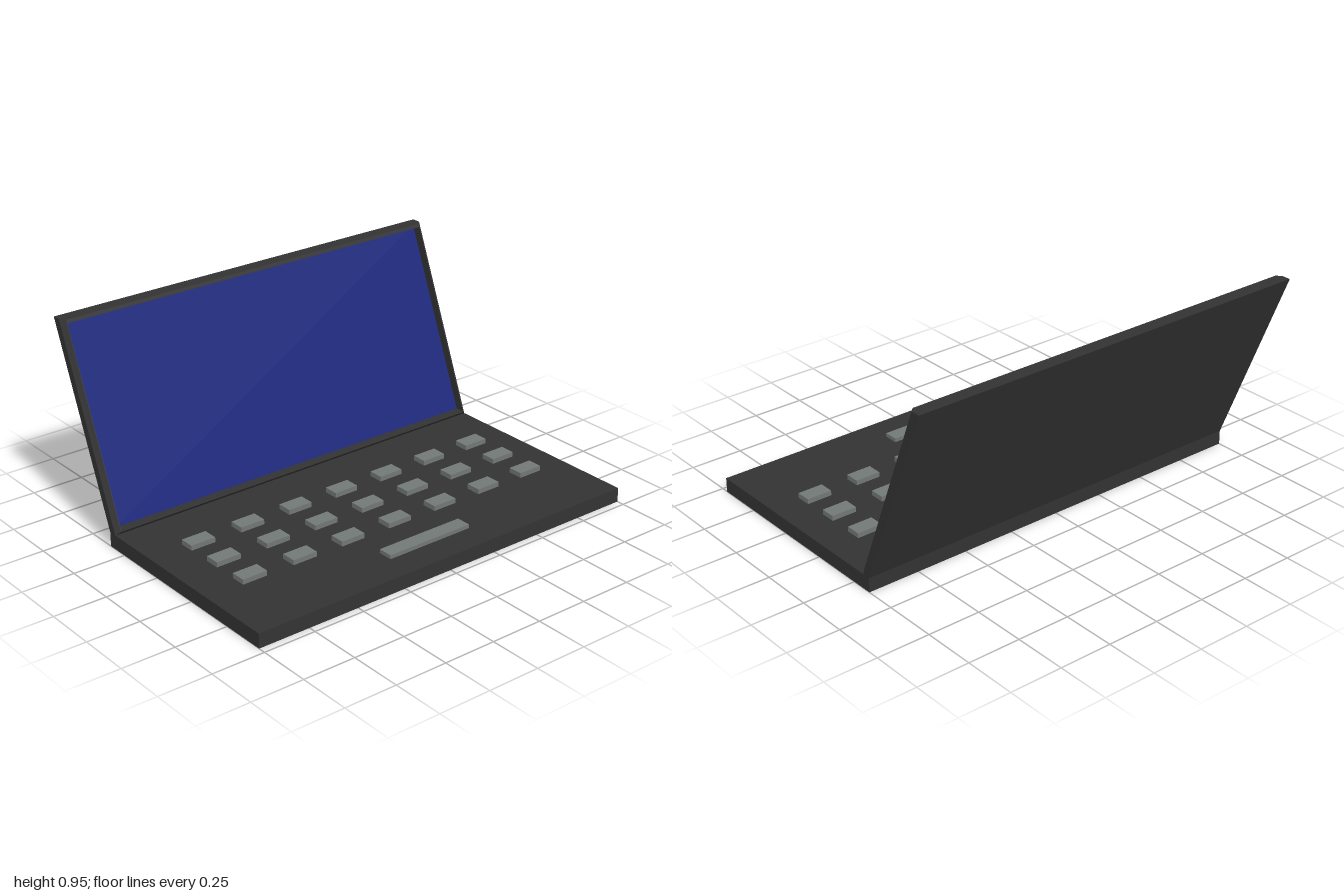
import * as THREE from 'three';

const material = (color, extra = {}) => new THREE.MeshStandardMaterial({ color, ...extra });

// Rectangular loop across the lid: bottom and top points [x, y], half-width z.
// Corners run counter-clockwise when seen from the screen side.
const loop = ([bx, by], [tx, ty], z) => [[bx, by, z], [bx, by, -z], [tx, ty, -z], [tx, ty, z]];

function quads(list) {
  const points = list.flatMap(([a, b, c, d]) => [a, b, c, a, c, d]).flat();
  const geometry = new THREE.BufferGeometry();
  geometry.setAttribute('position', new THREE.Float32BufferAttribute(points, 3));
  geometry.computeVertexNormals();
  return geometry;
}

export function createModel() {
  const group = new THREE.Group();
  const caseMaterial = material(0x333333, { flatShading: true });
  const keyMaterial = material(0x727876, { flatShading: true });
  const add = (name, geometry, mat, x = 0, y = 0, z = 0) => {
    const mesh = new THREE.Mesh(geometry, mat);
    mesh.name = name;
    mesh.position.set(x, y, z);
    group.add(mesh);
  };

  // Base slab
  add('base', new THREE.BoxGeometry(1.07, 0.068, 2), caseMaterial, 0.18, 0.034, 0);

  // Lid: back, bevelled outer edge, rim, opening, then recessed screen
  const rings = [
    loop([-0.355, 0.067], [-0.715, 0.95], 1),
    loop([-0.315, 0.067], [-0.673, 0.95], 1),
    loop([-0.3, 0.085], [-0.65, 0.95], 0.98),
    loop([-0.301, 0.088], [-0.644, 0.935], 0.977),
    loop([-0.345, 0.088], [-0.69, 0.935], 0.977),
  ];
  const faces = [[...rings[0]].reverse()];
  for (let r = 0; r < rings.length - 1; r++) {
    for (let i = 0; i < 4; i++) {
      const j = (i + 1) % 4;
      faces.push([rings[r][i], rings[r][j], rings[r + 1][j], rings[r + 1][i]]);
    }
  }
  add('lid', quads(faces), caseMaterial);
  add('screen', quads([rings[4]]), material(0x16237a, { flatShading: true }));

  // Three rows of seven keys
  const keyGeometry = new THREE.BoxGeometry(0.072, 0.026, 0.122);
  for (const x of [-0.037, 0.147, 0.331]) {
    for (let i = 0; i < 7; i++) {
      add('key', keyGeometry, keyMaterial, x, 0.078, -0.79 + i * 0.2585);
    }
  }

  // Space bar
  add('spaceBar', new THREE.BoxGeometry(0.07, 0.022, 0.44), keyMaterial, 0.544, 0.075, -0.003);

  return group;
}
